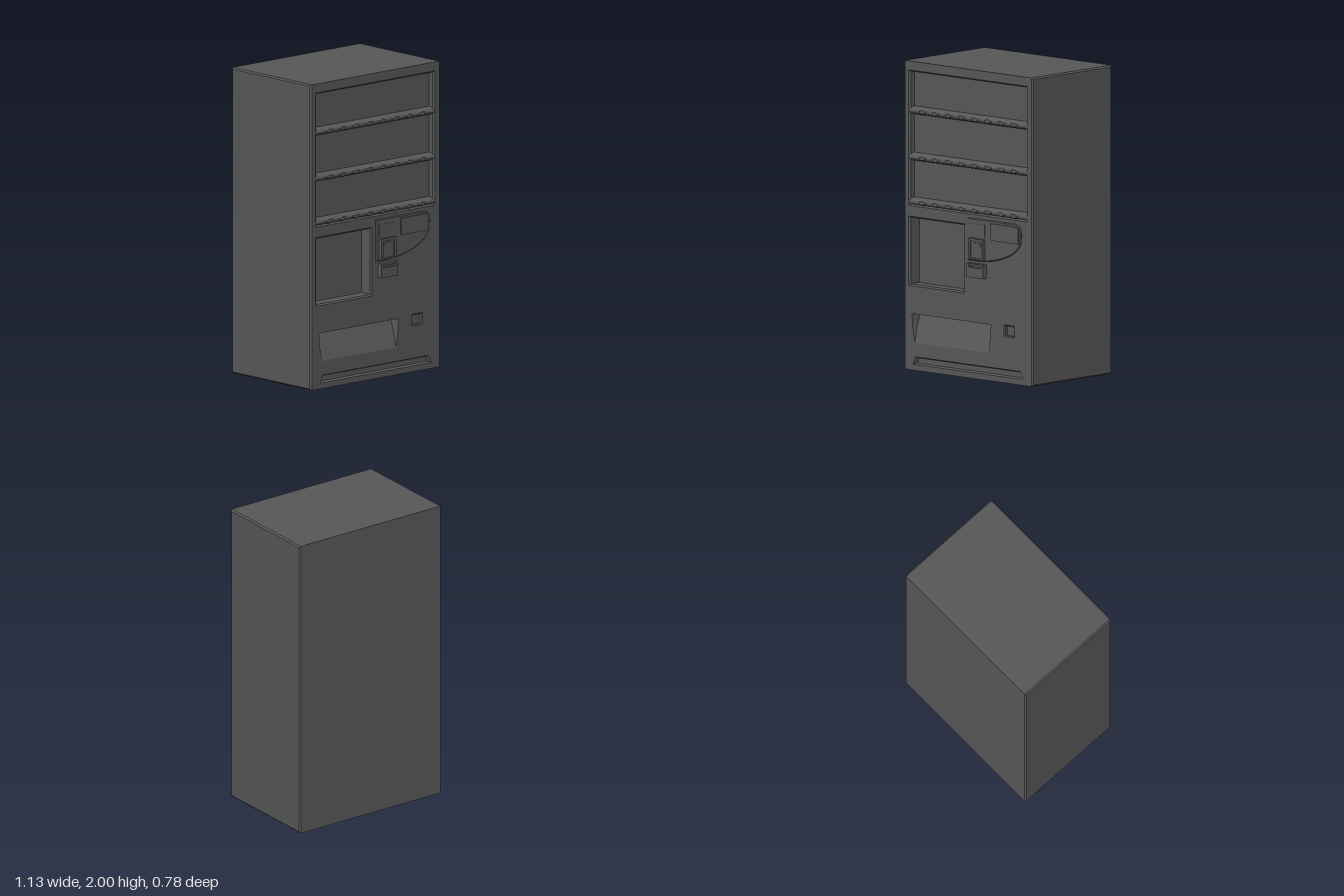
import * as THREE from 'three';

const F = 0.357; // front face z
const B = -0.394; // back face z
const W = 0.553; // half width of the front face
const mat = new THREE.MeshStandardMaterial({ color: 0x585858 });
const matThin = new THREE.MeshStandardMaterial({ color: 0x585858, side: THREE.DoubleSide });

function add(group, name, geo, x = 0, y = 0, z = 0, m = mat) {
  const mesh = new THREE.Mesh(geo, m);
  mesh.name = name;
  mesh.position.set(x, y, z);
  group.add(mesh);
  return mesh;
}

// Faceted skin through a list of loops, closed by a fan on the last loop
function loft(loops) {
  const pos = [];
  const tri = (a, b, c) => pos.push(...a, ...b, ...c);
  for (let k = 0; k < loops.length - 1; k++) {
    const a = loops[k], b = loops[k + 1], n = a.length;
    for (let i = 0; i < n; i++) {
      const j = (i + 1) % n;
      tri(a[i], a[j], b[j]);
      tri(a[i], b[j], b[i]);
    }
  }
  const end = loops[loops.length - 1];
  for (let i = 1; i < end.length - 1; i++) tri(end[0], end[i], end[i + 1]);
  const geo = new THREE.BufferGeometry();
  geo.setAttribute('position', new THREE.Float32BufferAttribute(pos, 3));
  geo.computeVertexNormals();
  return geo;
}

const rect = (x0, y0, x1, y1) => [[x0, y0], [x1, y0], [x1, y1], [x0, y1]];
const at = (pts, z) => pts.map(([x, y]) => [x, y, z]);
const toShape = (pts) => new THREE.Shape(pts.map(([x, y]) => new THREE.Vector2(x, y)));

function box(group, name, x0, y0, x1, y1, z0, z1) {
  return add(group, name, new THREE.BoxGeometry(x1 - x0, y1 - y0, z1 - z0),
    (x0 + x1) / 2, (y0 + y1) / 2, (z0 + z1) / 2);
}

// Raised frame with a rectangular opening
function frame(group, name, outer, inner, z0, z1) {
  const s = toShape(rect(...outer));
  s.holes.push(toShape(rect(...inner)));
  add(group, name, new THREE.ExtrudeGeometry(s, { depth: z1 - z0, bevelEnabled: false }), 0, 0, z0);
}

// Rectangular recess: rim lip, then straight walls to the floor
function pocket(x0, y0, x1, y1, lip, depth) {
  const rim = rect(x0, y0, x1, y1);
  const inner = rect(x0 + lip, y0 + lip, x1 - lip, y1 - lip);
  return { rim, loops: [at(rim, F), at(inner, F - lip), at(inner, F - depth)] };
}

// Side wall with chamfered edges all round; s is 1 for left, -1 for right
function sideWall(s) {
  const ring = (x, c) => {
    const pts = [[s * x, c, F - c], [s * x, c, B + c], [s * x, 2 - c, B + c], [s * x, 2 - c, F - c]];
    return s > 0 ? pts : pts.reverse();
  };
  return loft([ring(W, 0), ring(W + 0.01, 0.01)]);
}

export function createModel() {
  const model = new THREE.Group();
  model.name = 'vendingMachine';

  // Cabinet walls
  const mid = (F + B) / 2;
  add(model, 'leftWall', sideWall(1));
  add(model, 'rightWall', sideWall(-1));
  add(model, 'backWall', new THREE.PlaneGeometry(2 * W, 2).rotateY(Math.PI), 0, 1, B);
  add(model, 'roof', new THREE.PlaneGeometry(2 * W, F - B).rotateX(-Math.PI / 2), 0, 2, mid);
  add(model, 'base', new THREE.PlaneGeometry(2 * W, F - B).rotateX(Math.PI / 2), 0, 0, mid);

  // Recesses in the front
  const recesses = {
    displayWindow: pocket(-0.52, 1.063, 0.515, 1.942, 0.01, 0.045),
    sideWindow: pocket(-0.52, 0.545, -0.03, 0.995, 0.01, 0.09),
    coinReturn: pocket(0.315, 0.3, 0.407, 0.376, 0.006, 0.025),
  };
  const ventRim = [[-0.482, 0.038], [0.482, 0.038], [0.457, 0.088], [-0.457, 0.088]];
  const ventFloor = [[-0.462, 0.046], [0.462, 0.046], [0.447, 0.08], [-0.447, 0.08]];
  recesses.bottomVent = { rim: ventRim, loops: [at(ventRim, F), at(ventFloor, F - 0.02)] };

  // Delivery slot: a flat flap that leans back from its lower edge
  const slot = [[-0.485, 0.28], [-0.465, 0.18], [0.178, 0.18], [0.193, 0.28], [0.2, 0.365], [-0.49, 0.365]];
  const flap = slot.map(([x, y]) => {
    const d = (y - 0.18) * 0.38;
    return [x - Math.sign(x) * d * 0.12, y, F - d];
  });
  recesses.deliverySlot = { rim: slot, loops: [at(slot, F), flap] };

  const front = toShape(rect(-W, 0, W, 2));
  for (const [name, r] of Object.entries(recesses)) {
    front.holes.push(toShape(r.rim));
    add(model, name, loft(r.loops), 0, 0, 0, matThin);
  }
  add(model, 'frontPanel', new THREE.ShapeGeometry(front), 0, 0, F);

  // Rounded shelf rails, each with a row of oval buttons
  const railGeo = new THREE.CylinderGeometry(1, 1, 1.035, 24).rotateZ(Math.PI / 2);
  const buttonGeo = new THREE.CylinderGeometry(0.024, 0.036, 0.014, 20).rotateX(Math.PI / 2);
  for (const y of [1.679, 1.379, 1.089]) {
    const rail = add(model, 'shelfRail', railGeo, -0.002, y, F - 0.045);
    rail.scale.set(1, 0.026, 0.045);
    for (let i = 0; i < 8; i++) {
      const button = add(model, 'selectionButton', buttonGeo, -0.4 + i * 0.1148, y, F);
      button.scale.y = 0.5;
    }
  }

  // Thin payment panel with a swept right edge and sloping rim
  const panel = new THREE.Shape();
  panel.moveTo(0, 1.04);
  panel.lineTo(0, 0.765);
  panel.lineTo(0.12, 0.765);
  panel.bezierCurveTo(0.27, 0.775, 0.44, 0.83, 0.465, 0.92);
  panel.bezierCurveTo(0.475, 0.98, 0.475, 1.035, 0.41, 1.04);
  add(model, 'paymentPanel', new THREE.ExtrudeGeometry(panel, {
    depth: 0.001, bevelThickness: 0.005, bevelSize: 0.006, bevelOffset: -0.006,
    bevelSegments: 1, curveSegments: 16,
  }), 0, 0, F);
  box(model, 'priceDisplay', 0.21, 0.912, 0.45, 1.022, F, 0.371);
  box(model, 'infoPlate', 0.025, 0.925, 0.155, 1.005, F, 0.367);

  // Coin unit with a recessed face and a small slot plate
  frame(model, 'coinUnit', [0.025, 0.775, 0.155, 0.912], [0.042, 0.785, 0.138, 0.895], F, 0.385);
  box(model, 'coinUnitFace', 0.042, 0.785, 0.138, 0.895, F, 0.374);
  box(model, 'coinSlot', 0.055, 0.862, 0.125, 0.882, 0.374, 0.379);

  // Note tray with a narrow slot
  frame(model, 'noteTray', [0.02, 0.66, 0.16, 0.75], [0.036, 0.725, 0.144, 0.739], F, 0.391);
  box(model, 'noteTraySlot', 0.036, 0.725, 0.144, 0.739, F, 0.375);

  return model;
}
